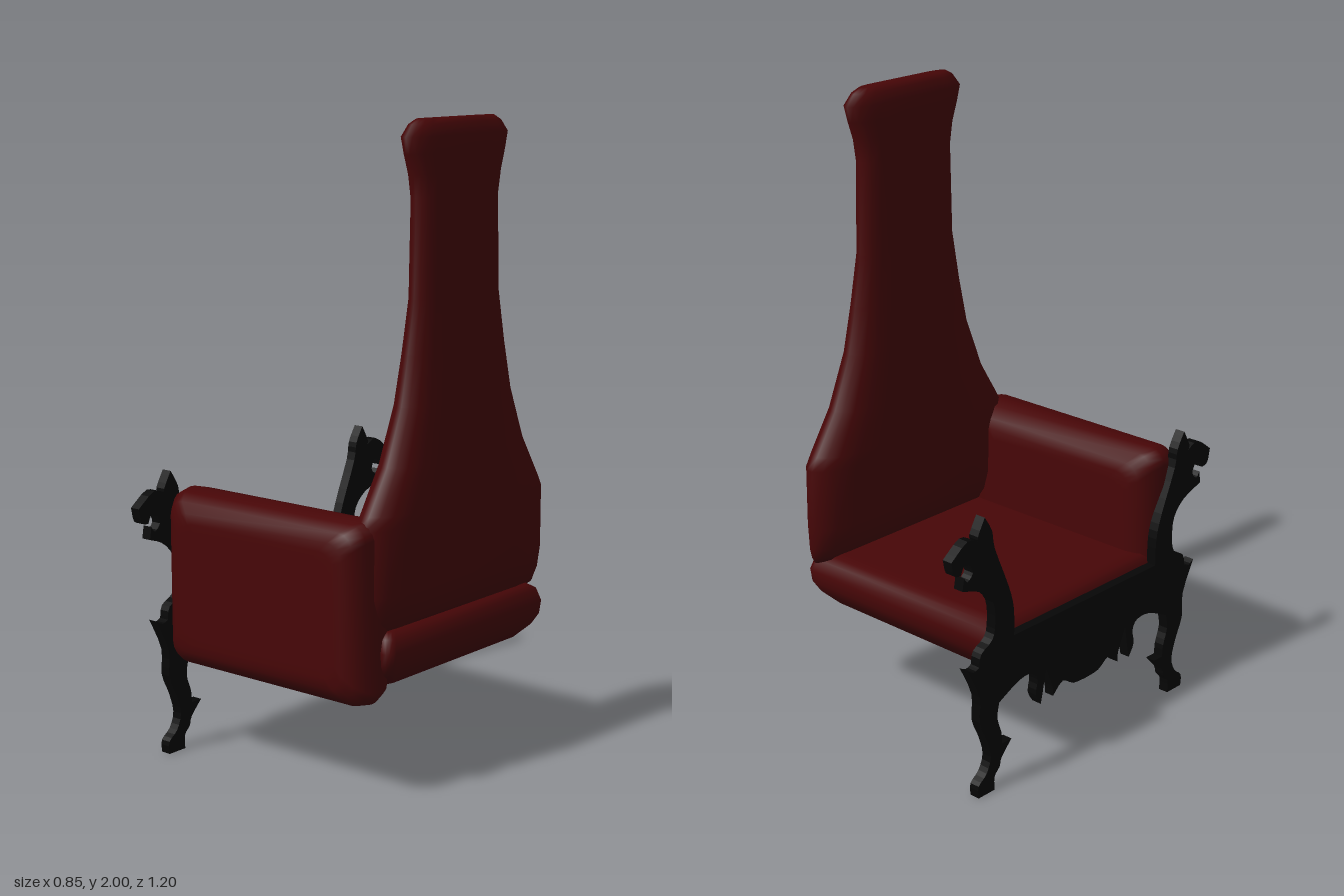
import * as THREE from 'three';

const upholstery = new THREE.MeshStandardMaterial({ color: 0x470607 });
upholstery.name = 'dark red upholstery';
const blackWood = new THREE.MeshStandardMaterial({ color: 0x060606 });
blackWood.name = 'black wood';

function addMesh(group, name, geometry, material) {
  const mesh = new THREE.Mesh(geometry, material);
  mesh.name = name;
  group.add(mesh);
}

// Smooth closed skin over rings stacked along y; each ring is { y, points: [[x, z], ...] }
function loft(rings) {
  const n = rings[0].points.length;
  const positions = rings.flatMap(({ y, points }) => points.flatMap(([x, z]) => [x, y, z]));
  const index = [];
  for (let r = 0; r < rings.length - 1; r++) {
    for (let i = 0; i < n; i++) {
      const a = r * n + i, b = r * n + (i + 1) % n;
      index.push(a, a + n, b, b, a + n, b + n);
    }
  }
  const top = (rings.length - 1) * n;
  for (let i = 1; i < n - 1; i++) index.push(0, i, i + 1, top, top + i + 1, top + i);
  const g = new THREE.BufferGeometry();
  g.setAttribute('position', new THREE.Float32BufferAttribute(positions, 3));
  g.setIndex(index);
  g.computeVertexNormals();
  return g;
}

// Rounded rectangle in x and z, walked from +x towards +z
function roundedRect(halfX, halfZ, radius) {
  const points = [];
  for (let corner = 0; corner < 4; corner++) {
    const sx = corner === 0 || corner === 3 ? 1 : -1;
    const sz = corner < 2 ? 1 : -1;
    for (let k = 0; k <= 4; k++) {
      const a = (corner + k / 4) * Math.PI / 2;
      points.push([
        sx * (halfX - radius) + radius * Math.cos(a),
        sz * (halfZ - radius) + radius * Math.sin(a),
      ]);
    }
  }
  return points;
}

// Cushion whose edge bulges by a profile of [height, inset]
function cushion(halfX, halfZ, radius, profile) {
  return loft(profile.map(([y, inset]) => ({ y, points: roundedRect(halfX - inset, halfZ - inset, radius) })));
}

// Padded back: one flat-faced, round-edged section scaled up the height
function backGeometry() {
  const quarter = [[1, 0.5], [1, 0.7], [0.8, 0.87], [0.5, 0.95], [0.15, 1]];
  const half = [...quarter, ...quarter.map(([x, z]) => [-x, z]).reverse()];
  const section = [...half, ...half.map(([x, z]) => [-x, -z])];
  // height, half width, half thickness
  const sizes = [
    [0.51, 0.42, 0.025], [0.53, 0.43, 0.035], [0.56, 0.435, 0.055], [0.63, 0.437, 0.074],
    [0.83, 0.435, 0.077], [0.87, 0.412, 0.076], [1.0, 0.33, 0.068], [1.17, 0.262, 0.058],
    [1.32, 0.23, 0.05], [1.48, 0.202, 0.043], [1.77, 0.195, 0.041], [1.84, 0.205, 0.045],
    [1.9, 0.227, 0.045], [1.95, 0.243, 0.043], [1.985, 0.213, 0.034], [2, 0.185, 0.018],
  ];
  return loft(sizes.map(([y, w, t]) => ({ y, points: section.map(([x, z]) => [0.347 + x * t, z * w]) })));
}

// Carved front: half outline in (distance from middle, height), mirrored.
// Each row is a smooth curve that starts at the sharp tip ending the row before.
function carvedFrontGeometry() {
  const apron = [
    [[0.06, 0.223], [0.11, 0.25], [0.155, 0.215]],
    [[0.158, 0.25], [0.19, 0.325]],
    [[0.203, 0.25], [0.212, 0.21]],
    [[0.235, 0.25], [0.228, 0.3], [0.25, 0.33], [0.31, 0.33], [0.4, 0.29]],
  ];
  const leg = [
    [[0.408, 0.24], [0.39, 0.185], [0.387, 0.145]],
    [[0.345, 0.145]],
    [[0.388, 0.1], [0.398, 0.07], [0.42, 0.045], [0.42, 0]],
    [[0.49, 0]],
    [[0.49, 0.04], [0.455, 0.07], [0.437, 0.12], [0.455, 0.185], [0.485, 0.255], [0.485, 0.34], [0.535, 0.445]],
    [[0.51, 0.432], [0.487, 0.44]],
  ];
  const post = [
    [[0.478, 0.48], [0.43, 0.51], [0.418, 0.56], [0.426, 0.63], [0.475, 0.68], [0.557, 0.71]],
    [[0.55, 0.75]],
    [[0.535, 0.733], [0.513, 0.755], [0.525, 0.785]],
    [[0.55, 0.787], [0.563, 0.762]],
    [[0.59, 0.77], [0.602, 0.815]],
    [[0.535, 0.86], [0.488, 0.843]],
    [[0.492, 0.86], [0.463, 0.912]],
    [[0.432, 0.86], [0.42, 0.8], [0.36, 0.66], [0.337, 0.58], [0.335, 0.49]],
  ];
  const half = [new THREE.Vector2(0, 0.218)];
  for (const row of [...apron, ...leg, ...post]) {
    const spline = new THREE.SplineCurve([half.at(-1), ...row.map(([z, y]) => new THREE.Vector2(z, y))]);
    half.push(...spline.getPoints(row.length === 1 ? 1 : row.length * 3).slice(1));
  }
  const mirrored = half.slice(1).reverse().map((p) => new THREE.Vector2(-p.x, p.y));
  const g = new THREE.ExtrudeGeometry(new THREE.Shape([...half, ...mirrored]), { depth: 0.034, bevelEnabled: false });
  return g.rotateY(-Math.PI / 2).translate(-0.394, 0, 0);
}

export function createModel() {
  const chair = new THREE.Group();
  chair.name = 'highBackChair';

  // Seat with a bulging rim that curves in underneath
  const seat = cushion(0.413, 0.393, 0.03, [
    [0.33, 0.14], [0.332, 0.1], [0.345, 0.06], [0.385, 0.022], [0.42, 0.004], [0.46, 0],
    [0.5, 0.012], [0.516, 0.035], [0.52, 0.07], [0.52, 0.11],
  ]).translate(0.007, 0, -0.003);
  addMesh(chair, 'seatCushion', seat, upholstery);

  // Single side arm, thickness running along z
  const arm = cushion(0.395, 0.281, 0.05, [
    [0.305, 0.11], [0.305, 0.075], [0.318, 0.045], [0.345, 0.012], [0.395, 0],
    [0.45, 0.008], [0.485, 0.03], [0.502, 0.06], [0.505, 0.09], [0.505, 0.12],
  ]).rotateX(Math.PI / 2).translate(-0.01, 0.578, 0);
  addMesh(chair, 'sideArm', arm, upholstery);

  addMesh(chair, 'tallBack', backGeometry(), upholstery);
  addMesh(chair, 'carvedFrontFrame', carvedFrontGeometry(), blackWood);
  return chair;
}
